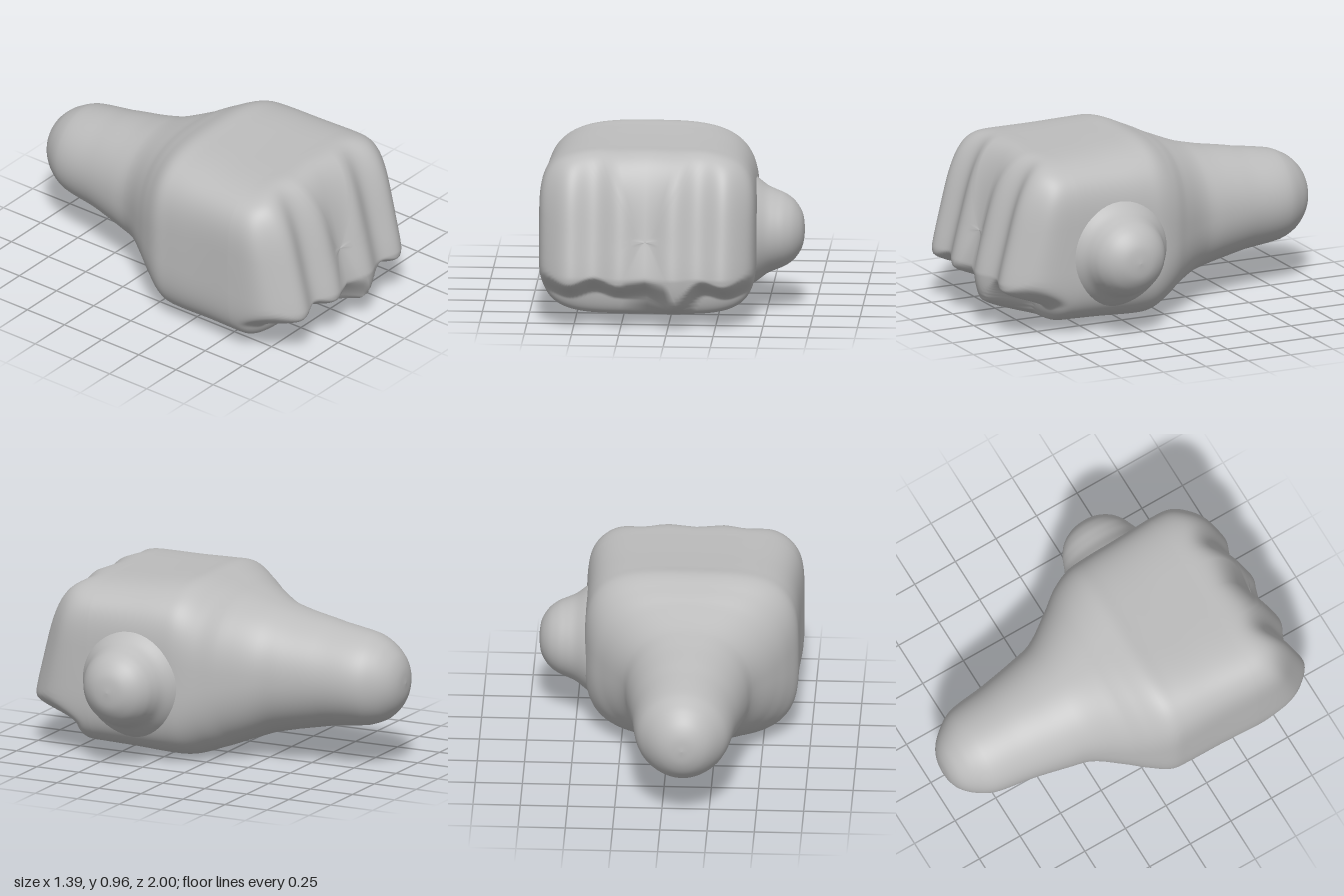
import * as THREE from 'three';

const SEG = 128;

// Cross-sections from wrist stump to knuckles: z, left/right x, bottom/top y, squareness
const SECTIONS = [
  [-1.0, -0.116, -0.114, 0.469, 0.471, 2],
  [-0.99, -0.19, -0.04, 0.39, 0.55, 2],
  [-0.96, -0.25, 0.02, 0.325, 0.615, 2],
  [-0.9, -0.305, 0.08, 0.265, 0.675, 2],
  [-0.81, -0.355, 0.135, 0.228, 0.72, 2],
  [-0.6, -0.39, 0.165, 0.2, 0.755, 2],
  [-0.4, -0.43, 0.2, 0.16, 0.79, 2.1],
  [-0.27, -0.46, 0.23, 0.13, 0.82, 2.2],
  [-0.1, -0.57, 0.34, 0.07, 0.885, 2.5],
  [0.0, -0.635, 0.41, 0.035, 0.93, 2.9],
  [0.1, -0.68, 0.445, 0.006, 0.963, 3.4],
  [0.2, -0.682, 0.45, 0.01, 0.957, 3.8],
  [0.4, -0.682, 0.452, 0.028, 0.945, 4.2],
  [0.6, -0.69, 0.458, 0.04, 0.938, 4.5],
];

const spow = (v, p) => Math.sign(v) * Math.pow(Math.abs(v), p);

// One superellipse ring, scaled by sx, sy about its centre
function ring([z, x0, x1, y0, y1, n], sx = 1, sy = 1) {
  const pts = [];
  for (let j = 0; j < SEG; j++) {
    const a = (j / SEG) * Math.PI * 2;
    pts.push(new THREE.Vector3(
      (x0 + x1) / 2 + sx * (x1 - x0) / 2 * spow(Math.cos(a), 2 / n),
      (y0 + y1) / 2 + sy * (y1 - y0) / 2 * spow(Math.sin(a), 2 / n),
      z));
  }
  return pts;
}

// Depth of the knuckle face: slanted, rippled into four fingers, tucked in below the fingertips
function faceZ(x, y) {
  const ripple = 0.022 * Math.cos((x + 0.25) / 0.275 * Math.PI * 2);
  const slant = 0.98 - 0.26 * Math.max(y - 0.3, 0);
  const tip = 0.2 - 0.12 * Math.exp(-(((x - 0.03) / 0.1) ** 2)) + ripple * -0.8;
  return THREE.MathUtils.lerp(0.74, slant + ripple, THREE.MathUtils.smoothstep(y, tip - 0.05, tip + 0.09));
}

function loft(rings) {
  const pos = [], index = [];
  rings.forEach((r) => r.forEach((p) => pos.push(p.x, p.y, p.z)));
  for (let i = 0; i < rings.length - 1; i++) {
    for (let j = 0; j < SEG; j++) {
      const a = i * SEG + j, b = i * SEG + (j + 1) % SEG;
      index.push(a, b, a + SEG, b, b + SEG, a + SEG);
    }
  }
  const g = new THREE.BufferGeometry();
  g.setAttribute('position', new THREE.Float32BufferAttribute(pos, 3));
  g.setIndex(index);
  g.computeVertexNormals();
  return g;
}

function handGeometry() {
  const rings = [];
  // Forearm and palm, smoothly interpolated between the sections
  const xs = new THREE.CatmullRomCurve3(SECTIONS.map((s) => new THREE.Vector3(s[0], s[1], s[2])));
  const ys = new THREE.CatmullRomCurve3(SECTIONS.map((s) => new THREE.Vector3(s[3], s[4], s[5])));
  const steps = (SECTIONS.length - 1) * 5;
  for (let i = 0; i <= steps; i++) {
    const a = xs.getPoint(i / steps), b = ys.getPoint(i / steps);
    rings.push(ring([a.x, a.y, a.z, b.x, b.y, b.z]));
  }
  // Rounded front closing over the finger face
  const last = SECTIONS[SECTIONS.length - 1], K = 80;
  for (let k = 1; k <= K; k++) {
    const u = k / K, a = Math.PI / 2 * (3 * u * u - 2 * u * u * u);
    const c = Math.max(Math.cos(a), 1e-9), depth = Math.sqrt(Math.sin(a));
    const r = ring(last, Math.pow(c, 1 / 3), Math.sqrt(c));
    r.forEach((p) => { p.z = THREE.MathUtils.lerp(last[0], faceZ(p.x, p.y), depth); });
    rings.push(r);
  }
  return loft(rings);
}

// Stubby thumb with a flared root, turned about the x axis
function thumbGeometry() {
  const profile = [[0.33, 0.36], [0.28, 0.44], [0.235, 0.5], [0.212, 0.55], [0.19, 0.6],
    [0.15, 0.65], [0.085, 0.688], [0.0, 0.7]];
  const curve = new THREE.SplineCurve(profile.map(([r, h]) => new THREE.Vector2(r, h)));
  const pts = curve.getPoints(32);
  pts.forEach((p) => { p.x = Math.max(p.x, 0); });
  return new THREE.LatheGeometry(pts, 48).rotateZ(-Math.PI / 2);
}

export function createModel() {
  const group = new THREE.Group();
  group.name = 'fist';
  const grey = new THREE.MeshStandardMaterial({ color: 0xbcbcbc });
  grey.name = 'light grey';

  const hand = new THREE.Mesh(handGeometry(), grey);
  hand.name = 'handAndForearm';
  group.add(hand);

  const thumb = new THREE.Mesh(thumbGeometry(), grey);
  thumb.name = 'thumb';
  thumb.position.set(0, 0.44, 0.36);
  group.add(thumb);
  return group;
}
